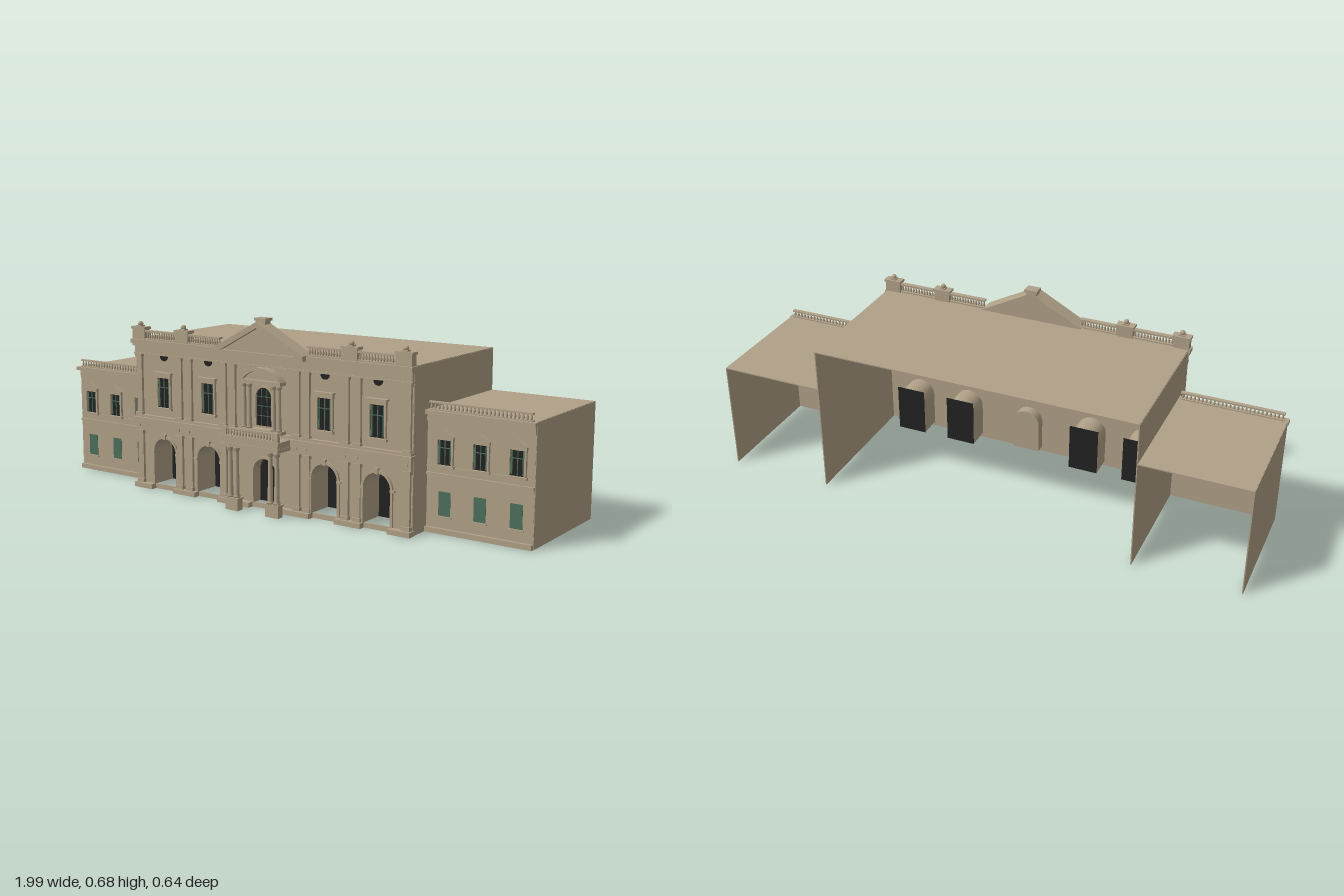
import * as THREE from 'three';

const mat = (name, color, side = THREE.FrontSide) => {
  const m = new THREE.MeshStandardMaterial({ color, side });
  m.name = name;
  return m;
};

export function createModel() {
  const root = new THREE.Group();
  root.name = 'palaceFacade';
  const stone = mat('stone', 0xb0a087, THREE.DoubleSide);
  const dark = mat('darkGlass', 0x222222, THREE.DoubleSide);
  const green = mat('greenShutter', 0x4c6e5c);

  const add = (name, geo, m = stone, parent = root) => {
    const mesh = new THREE.Mesh(geo, m);
    mesh.name = name;
    parent.add(mesh);
    return mesh;
  };
  const box = (name, x0, x1, y0, y1, z0, z1, m = stone, parent = root) =>
    add(name, new THREE.BoxGeometry(x1 - x0, y1 - y0, z1 - z0)
      .translate((x0 + x1) / 2, (y0 + y1) / 2, (z0 + z1) / 2), m, parent);
  const group = (name, x = 0, y = 0, z = 0) => {
    const g = new THREE.Group();
    g.name = name;
    g.position.set(x, y, z);
    root.add(g);
    return g;
  };
  const extrude = (shape, z0, z1) => new THREE.ExtrudeGeometry(shape,
    { depth: z1 - z0, bevelEnabled: false, curveSegments: 12 }).translate(0, 0, z0);
  const polygon = (pts) => new THREE.Shape(pts.map(([x, y]) => new THREE.Vector2(x, y)));

  // Round-headed outline: centre x, half width w, bottom y0, crown y1
  const arch = (x, w, y0, y1, Type = THREE.Shape) => {
    const s = new Type();
    s.moveTo(x - w, y0);
    s.lineTo(x + w, y0);
    s.lineTo(x + w, y1 - w);
    s.absarc(x, y1 - w, w, 0, Math.PI, false);
    s.lineTo(x - w, y0);
    return s;
  };
  // Arched band open at the bottom
  const archBand = (x, w, t, y0, y1) => {
    const s = new THREE.Shape();
    s.moveTo(x + w, y0);
    s.lineTo(x + w + t, y0);
    s.lineTo(x + w + t, y1 - w);
    s.absarc(x, y1 - w, w + t, 0, Math.PI, false);
    s.lineTo(x - w - t, y0);
    s.lineTo(x - w, y0);
    s.lineTo(x - w, y1 - w);
    s.absarc(x, y1 - w, w, Math.PI, 0, true);
    return s;
  };

  // Turned column with base and capital
  const column = (name, x, z, y0, y1, r) => {
    const h = y1 - y0;
    const pts = [[0, 0], [r * 1.35, 0], [r * 1.35, h * 0.03], [r, h * 0.06], [r * 0.85, h * 0.9],
      [r * 1.1, h * 0.92], [r * 1.35, h * 0.97], [r * 1.35, h], [0, h]];
    add(name, new THREE.LatheGeometry(pts.map(([a, b]) => new THREE.Vector2(a, b)), 14).translate(x, y0, z));
  };
  // Rails with a row of turned balusters
  const balustrade = (x0, x1, y0, y1, z0, z1, n) => {
    const g = group('balustrade'), h = y1 - y0, t = h * 0.2;
    box('bottomRail', x0, x1, y0, y0 + t * 0.8, z0, z1, stone, g);
    box('topRail', x0, x1, y1 - t, y1, z0, z1, stone, g);
    const r = 0.0045;
    const pts = [[r * 0.6, 0], [r, h * 0.25], [r * 0.5, h * 0.45], [r * 0.7, h * 0.65]]
      .map(([a, b]) => new THREE.Vector2(a, b));
    const geo = new THREE.LatheGeometry(pts, 6);
    for (let i = 0; i < n; i++) {
      add('baluster', geo, stone, g).position
        .set(x0 + (x1 - x0) * (i + 0.5) / n, y0 + t * 0.8, (z0 + z1) / 2);
    }
  };

  // Framed window on a wall; origin at the centre of the sill
  const framedWindow = (x, y, z, w, h, tri) => {
    const g = group('window', x, y, z);
    box('pane', -w, w, 0, h, 0, 0.002, dark, g);
    for (const s of [-1, 1]) {
      const a = s * w;
      box('jamb', Math.min(a, a + s * 0.007), Math.max(a, a + s * 0.007), 0, h, 0, 0.009, stone, g);
      box('shutter', a * 0.82 - 0.003, a * 0.82 + 0.003, 0.004, h - 0.004, 0, 0.004, green, g);
    }
    box('mullion', -0.0015, 0.0015, 0, h, 0, 0.004, green, g);
    box('transom', -w, w, h * 0.66, h * 0.66 + 0.003, 0, 0.004, green, g);
    box('sill', -w - 0.011, w + 0.011, -0.009, 0, 0, 0.013, stone, g);
    box('lintel', -w - 0.009, w + 0.009, h, h + 0.014, 0, 0.012, stone, g);
    if (tri) add('pediment', extrude(polygon([[-w - 0.013, h + 0.014], [w + 0.013, h + 0.014],
      [0, h + 0.036]]), 0, 0.016), stone, g);
    else box('hood', -w - 0.014, w + 0.014, h + 0.014, h + 0.021, 0, 0.018, stone, g);
  };

  // Open-backed shells: roofs and side walls
  box('mainRoof', -0.6, 0.6, 0.561, 0.565, -0.32, 0.225);
  for (const s of [-1, 1]) {
    const a = s * 0.6, b = s * 0.99;
    box('mainSideWall', a - 0.002, a + 0.002, 0, 0.563, -0.32, 0.224);
    box('wingSideWall', b - 0.002, b + 0.002, 0, 0.412, -0.32, 0.134);
    const x0 = Math.min(a, b), x1 = Math.max(a, b);
    box('wingRoof', x0, x1, 0.409, 0.413, -0.32, 0.135);

    // Wing front with its bands, windows and balustrade
    box('wingFront', x0, x1, 0, 0.411, 0.128, 0.135);
    box('wingPlinth', x0, x1, 0, 0.018, 0.135, 0.147);
    box('wingBand', x0, x1, 0.195, 0.204, 0.135, 0.143);
    box('wingSillBand', x0, x1, 0.224, 0.228, 0.135, 0.139);
    box('wingFrieze', x0, x1, 0.375, 0.398, 0.135, 0.14);
    box('wingCornice', x0 - 0.005, x1 + 0.005, 0.4, 0.413, 0.128, 0.156);
    balustrade(x0 + 0.01, x1 - 0.01, 0.413, 0.442, 0.13, 0.145, 26);
    for (const c of [0.67, 0.8, 0.93]) {
      const x = s * c;
      framedWindow(x, 0.233, 0.135, 0.025, 0.085, true);
      box('lowerShutter', x - 0.022, x + 0.022, 0.06, 0.142, 0.135, 0.1365, green);
      box('lowerSill', x - 0.027, x + 0.027, 0.053, 0.059, 0.135, 0.14);
    }
  }

  // Main front wall pierced by four deep arches
  const bays = [-0.466, -0.255, 0.255, 0.466];
  const wall = polygon([[-0.6, 0], [0.6, 0], [0.6, 0.562], [-0.6, 0.562]]);
  for (const x of bays) wall.holes.push(arch(x, 0.053, 0.018, 0.197, THREE.Path));
  wall.holes.push(arch(0, 0.05, 0.018, 0.182, THREE.Path));
  add('mainFront', extrude(wall, 0.217, 0.225));

  for (const x of bays) {
    add('archTunnel', extrude(archBand(x, 0.053, 0.003, 0.018, 0.197), 0.13, 0.217));
    box('archPanel', x - 0.056, x + 0.056, 0.018, 0.2, 0.127, 0.13, dark);
    add('archMoulding', extrude(archBand(x, 0.053, 0.009, 0.018, 0.197), 0.225, 0.232));
    box('keystone', x - 0.007, x + 0.007, 0.194, 0.214, 0.225, 0.237);
    for (const s of [-1, 1]) {
      const e = x + s * 0.061;
      box('impost', e - 0.009, e + 0.009, 0.138, 0.146, 0.225, 0.234);
    }
    framedWindow(x, 0.315, 0.225, 0.028, 0.112, false);
    // Small lunette vent under the cornice
    const vent = new THREE.Shape();
    vent.absarc(x, 0.507, 0.018, Math.PI, Math.PI * 2, false);
    add('lunette', extrude(vent, 0.225, 0.228), dark);
  }

  // Centre doorway and its shallow recess
  add('doorTunnel', extrude(archBand(0, 0.05, 0.003, 0.018, 0.182), 0.185, 0.217));
  add('doorBack', extrude(arch(0, 0.053, 0.018, 0.185), 0.18, 0.185));
  add('doorPanel', extrude(arch(0, 0.05, 0.018, 0.182), 0.186, 0.19), dark);
  add('doorMoulding', extrude(archBand(0, 0.05, 0.008, 0.018, 0.182), 0.225, 0.232));

  // Paired pilasters on both storeys
  for (const s of [-1, 1]) for (const c of [0.583, 0.39, 0.342, 0.182, 0.14]) {
    const x = s * c, w = 0.013;
    for (const [y0, y1] of [[0.018, 0.22], [0.275, 0.51]]) {
      box('pilaster', x - w, x + w, y0, y1, 0.225, 0.235);
      box('pilasterBase', x - w - 0.003, x + w + 0.003, y0, y0 + 0.014, 0.225, 0.24);
      box('pilasterCapital', x - w - 0.003, x + w + 0.003, y1 - 0.013, y1, 0.225, 0.24);
    }
    box('friezeBoss', x - 0.004, x + 0.004, 0.235, 0.243, 0.236, 0.241);
  }

  // Horizontal mouldings, split at the doorway for the plinth
  for (const s of [-1, 1]) {
    const stops = [[0.058, 0.202], [0.308, 0.413], [0.519, 0.605]];
    for (const [a, b] of stops) {
      box('mainPlinth', Math.min(s * a, s * b), Math.max(s * a, s * b), 0, 0.018, 0.217, 0.25);
    }
  }
  for (const [y0, y1, z] of [[0.22, 0.256, 0.236], [0.256, 0.271, 0.249], [0.271, 0.28, 0.24],
    [0.51, 0.515, 0.24], [0.515, 0.54, 0.236], [0.54, 0.55, 0.245], [0.55, 0.565, 0.252]]) {
    const e = 0.6 + (z - 0.236) * 0.5;
    box('mainMoulding', -e, e, y0, y1, 0.217, z);
  }

  // Parapet piers with finials and balustrades between
  for (const s of [-1, 1]) {
    for (const c of [0.573, 0.364]) {
      const x = s * c;
      box('parapetPier', x - 0.03, x + 0.03, 0.565, 0.603, 0.218, 0.245);
      box('pierCap', x - 0.034, x + 0.034, 0.603, 0.612, 0.214, 0.249);
      box('finialFoot', x - 0.011, x + 0.011, 0.612, 0.617, 0.221, 0.243);
      add('finial', new THREE.SphereGeometry(0.01, 10, 8).translate(x, 0.622, 0.232));
    }
    for (const [a, b, n] of [[0.394, 0.543, 13], [0.19, 0.334, 13]]) {
      balustrade(Math.min(s * a, s * b), Math.max(s * a, s * b), 0.565, 0.6, 0.224, 0.242, n);
    }
  }

  // Central gable with raking cornice and crowning block
  add('gable', extrude(polygon([[-0.18, 0.562], [0.18, 0.562], [0, 0.66]]), 0.213, 0.26));
  add('rakingCornice', extrude(polygon([[-0.195, 0.56], [-0.165, 0.56], [0, 0.65], [0.165, 0.56],
    [0.195, 0.56], [0.195, 0.567], [0, 0.671], [-0.195, 0.567]]), 0.213, 0.275));
  box('gableCornice', -0.195, 0.195, 0.549, 0.563, 0.213, 0.272);
  box('gableBlock', -0.02, 0.02, 0.645, 0.675, 0.217, 0.25);
  box('gableBlockCap', -0.025, 0.025, 0.672, 0.682, 0.213, 0.253);

  // Central balcony window with columns and curved pediment
  add('centreWindow', extrude(arch(0, 0.034, 0.3, 0.437), 0.225, 0.228), dark);
  add('centreWindowFrame', extrude(archBand(0, 0.034, 0.007, 0.3, 0.437), 0.225, 0.235));
  for (const x of [-0.012, 0.012]) box('glazingBar', x - 0.001, x + 0.001, 0.3, 0.43, 0.226, 0.23, green);
  for (const y of [0.335, 0.37, 0.403]) box('glazingBar', -0.034, 0.034, y, y + 0.002, 0.226, 0.23, green);
  for (const s of [-1, 1]) for (const c of [0.053, 0.076]) {
    column('windowColumn', s * c, 0.246, 0.292, 0.452, 0.008);
  }
  box('windowColumnBase', -0.09, 0.09, 0.28, 0.292, 0.225, 0.258);
  box('windowEntablature', -0.09, 0.09, 0.452, 0.465, 0.225, 0.259);
  const curve = new THREE.Shape();
  const R = 0.109, cy = 0.4, t0 = Math.asin((0.465 - cy) / R);
  curve.absarc(0, cy, R, t0, Math.PI - t0, false);
  add('curvedPediment', extrude(curve, 0.225, 0.244));
  const rim = new THREE.Shape();
  rim.absarc(0, cy, R, t0, Math.PI - t0, false);
  rim.absarc(0, cy, R - 0.009, Math.PI - t0, t0, true);
  add('curvedPedimentRim', extrude(rim, 0.244, 0.256));

  // Portico: paired columns carrying a balcony
  for (const s of [-1, 1]) {
    const x = s * 0.088;
    box('porticoPedestal', x - 0.028, x + 0.028, 0, 0.04, 0.281, 0.309);
    box('pedestalCap', x - 0.03, x + 0.03, 0.04, 0.046, 0.279, 0.311);
    for (const d of [-0.014, 0.014]) column('porticoColumn', x + d, 0.295, 0.046, 0.23, 0.0095);
    box('balconyPier', s * 0.112 - 0.009, s * 0.112 + 0.009, 0.269, 0.302, 0.303, 0.317);
  }
  box('porticoArchitrave', -0.118, 0.118, 0.23, 0.243, 0.225, 0.311);
  box('porticoFrieze', -0.116, 0.116, 0.243, 0.258, 0.225, 0.308);
  box('porticoCornice', -0.125, 0.125, 0.258, 0.269, 0.225, 0.318);
  balustrade(-0.104, 0.104, 0.269, 0.3, 0.305, 0.316, 16);

  return root;
}
